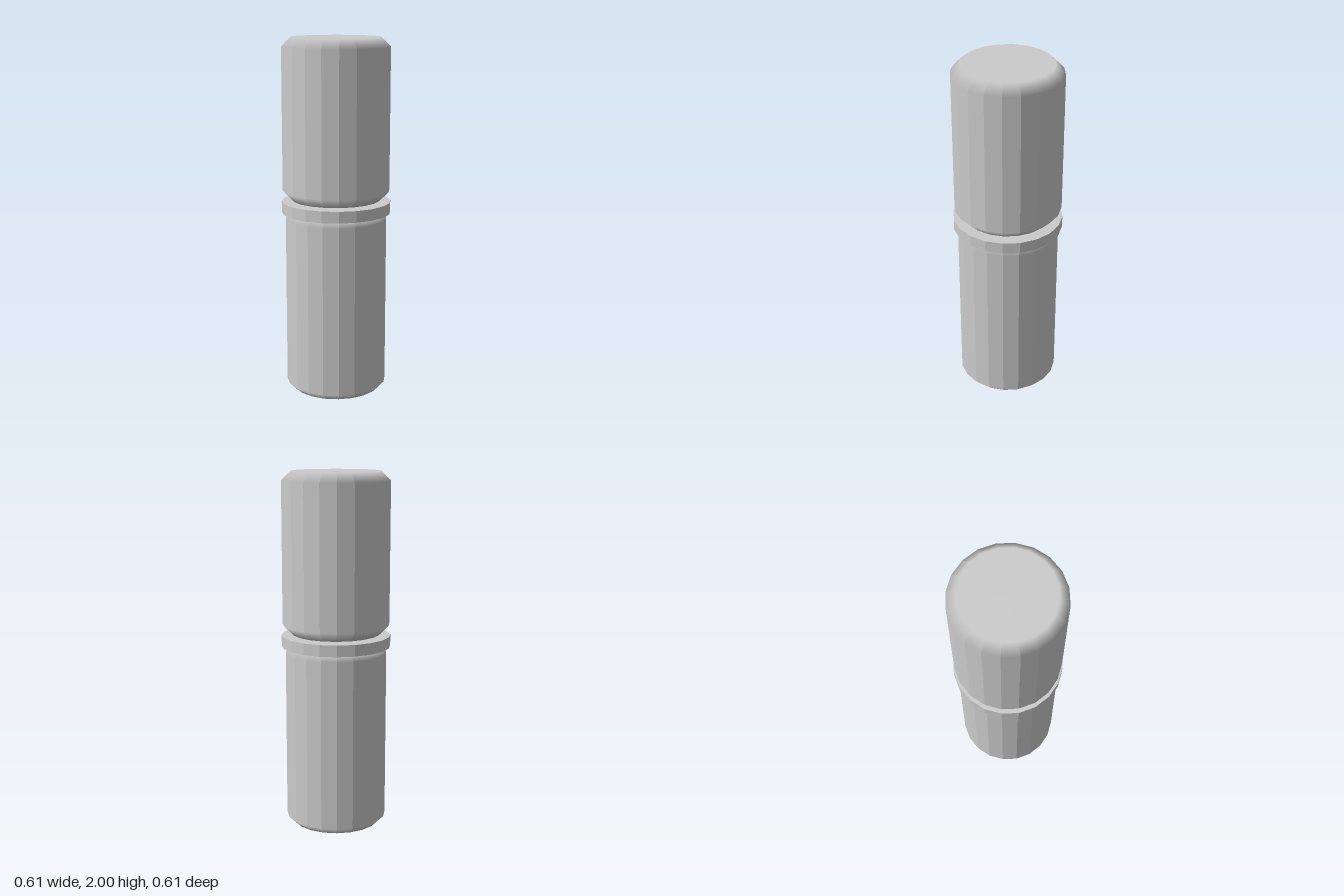
import * as THREE from 'three';

const SIDES = 20;
const material = new THREE.MeshStandardMaterial({ color: 0xcccccc });

// Faceted cylinder with chamfered rims; shading is flat around the sides
// and rolls smoothly from wall to cap across each chamfer.
function chamferedCylinder(name, radius, bottom, top, bevel) {
  const half = (top - bottom) / 2;
  const geometry = new THREE.CylinderGeometry(radius, radius, half * 2, SIDES, 3).toNonIndexed();
  const pos = geometry.attributes.position;
  const normal = geometry.attributes.normal;
  const inset = (radius - bevel) / radius;

  for (let i = 0; i < pos.count; i += 3) {
    // Middle angle of the facet that this triangle belongs to
    const cx = pos.getX(i) + pos.getX(i + 1) + pos.getX(i + 2);
    const cz = pos.getZ(i) + pos.getZ(i + 1) + pos.getZ(i + 2);
    const step = (Math.PI * 2) / SIDES;
    const angle = (Math.floor(Math.atan2(cx, cz) / step) + 0.5) * step;

    for (let j = i; j < i + 3; j++) {
      const y = pos.getY(j);
      const side = Math.sign(y);
      if (Math.abs(y) > half - 1e-4) {
        // Cap rim: pull inwards, face straight up or down
        pos.setXYZ(j, pos.getX(j) * inset, y, pos.getZ(j) * inset);
        normal.setXYZ(j, 0, side, 0);
      } else {
        // Wall rim: slide to the foot of the chamfer, face outwards
        pos.setY(j, side * (half - bevel));
        normal.setXYZ(j, Math.sin(angle), 0, Math.cos(angle));
      }
    }
  }

  const mesh = new THREE.Mesh(geometry, material);
  mesh.name = name;
  mesh.position.y = (bottom + top) / 2;
  return mesh;
}

export function createModel() {
  const model = new THREE.Group();
  model.name = 'capsule';

  // Narrower lower body and wider upper cap
  model.add(chamferedCylinder('lowerBody', 0.284, 0, 1.03, 0.036));
  model.add(chamferedCylinder('upperCap', 0.3, 1.1, 2, 0.053));

  // Flat collar between the two halves
  const collarMaterial = material.clone();
  collarMaterial.flatShading = true;
  const collar = new THREE.Mesh(new THREE.CylinderGeometry(0.306, 0.306, 0.064, SIDES), collarMaterial);
  collar.name = 'collar';
  collar.position.y = 1.06;
  model.add(collar);

  return model;
}
